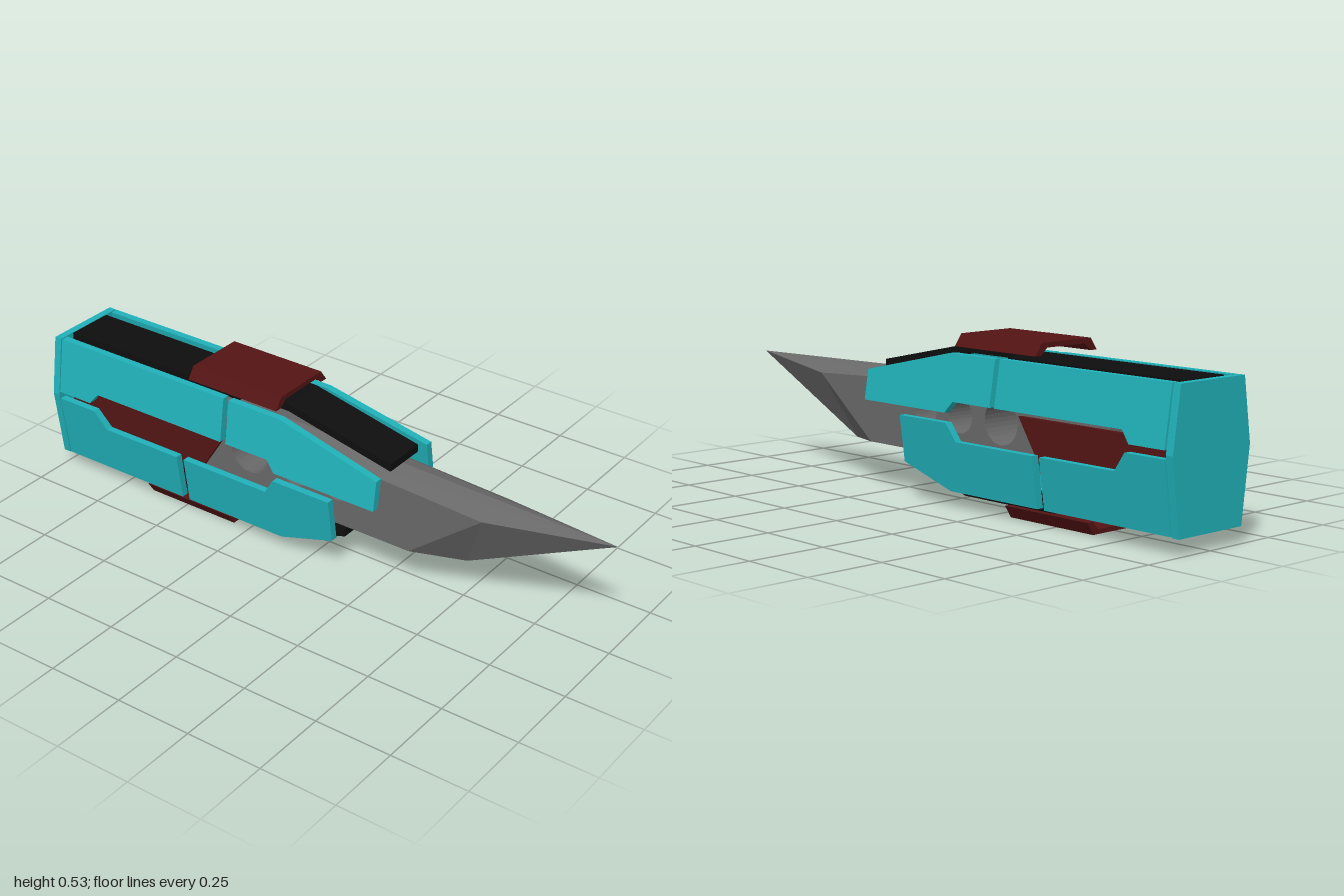
import * as THREE from 'three';

const mat = (color, side = THREE.FrontSide) =>
  new THREE.MeshStandardMaterial({ color, side, flatShading: true });
const TEAL = mat(0x20b0b8), RED = mat(0x541414), BLACK = mat(0x0e0e0e);
const STEEL = mat(0x686868, THREE.DoubleSide);

const shapeOf = (pts) => new THREE.Shape(pts.map(([a, b]) => new THREE.Vector2(a, b)));

// Extrudes a side outline given as [z, y], centred across x
function sideExtrude(shape, width) {
  const g = new THREE.ExtrudeGeometry(shape, { depth: width, bevelEnabled: false, curveSegments: 16 });
  g.translate(0, 0, -width / 2);
  return g.rotateY(-Math.PI / 2);
}

// Extrudes a front outline given as [x, y] between two z positions
function frontExtrude(pts, z0, z1) {
  const g = new THREE.ExtrudeGeometry(shapeOf(pts), { depth: z1 - z0, bevelEnabled: false });
  return g.translate(0, 0, z0);
}

// Moves every vertex by a rule
function deform(g, rule) {
  const p = g.attributes.position;
  const v = new THREE.Vector3();
  for (let i = 0; i < p.count; i++) {
    rule(v.fromBufferAttribute(p, i));
    p.setXYZ(i, v.x, v.y, v.z);
  }
  g.computeVertexNormals();
  return g;
}

export function createModel() {
  const model = new THREE.Group();
  const add = (name, geometry, material, parent = model) => {
    const m = new THREE.Mesh(geometry, material);
    m.name = name;
    parent.add(m);
    return m;
  };

  // Side panels lean inwards away from the middle height
  const panels = {
    upperFrontPanel: [[0.275, 0.295], [0.275, 0.39], [-0.09, 0.472], [-0.285, 0.472],
      [-0.285, 0.33], [-0.125, 0.33], [-0.095, 0.295]],
    upperRearPanel: [[-0.305, 0.33], [-0.305, 0.473], [-0.97, 0.473], [-0.97, 0.293],
      [-0.84, 0.293], [-0.81, 0.33]],
    lowerFrontPanel: [[0.11, 0.265], [-0.1, 0.265], [-0.135, 0.21], [-0.46, 0.21],
      [-0.46, 0.052], [-0.09, 0.052], [0.11, 0.118]],
    lowerRearPanel: [[-0.488, 0.21], [-0.78, 0.21], [-0.825, 0.268], [-0.97, 0.268],
      [-0.97, 0.052], [-0.488, 0.052]],
  };
  const lean = (y) => (y > 0.28 ? 0.149 - (y - 0.29) * 0.16 : 0.148 - (0.268 - y) * 0.14);
  for (const [name, pts] of Object.entries(panels)) {
    for (const s of [1, -1]) {
      const g = deform(sideExtrude(shapeOf(pts), 0.024), (v) => { v.x += s * lean(v.y); });
      add((s > 0 ? 'left ' : 'right ') + name, g, TEAL);
    }
  }

  // Six-sided end plate
  add('backPlate', frontExtrude([[-0.13, 0.05], [0.13, 0.05], [0.16, 0.28], [0.132, 0.473],
    [-0.132, 0.473], [-0.16, 0.28]], -1, -0.975), TEAL);

  // Black covers above and below the blade
  add('upperFrontCover', sideExtrude(shapeOf([[0.275, 0.39], [0.275, 0.415], [-0.1, 0.495],
    [-0.285, 0.495], [-0.285, 0.47], [-0.1, 0.47]]), 0.144), BLACK);
  add('lowerFrontCover', sideExtrude(shapeOf([[0.11, 0.122], [0.11, 0.098], [-0.09, 0.03],
    [-0.46, 0.03], [-0.46, 0.055], [-0.09, 0.055]]), 0.14), BLACK);
  const rearCover = (name, y, z0, z1) => {
    const g = new THREE.BoxGeometry(0.16, 0.025, z0 - z1);
    add(name, g.translate(0, y, (z0 + z1) / 2), BLACK);
  };
  rearCover('upperRearCover', 0.4625, -0.285, -0.97);
  rearCover('lowerRearCover', 0.0625, -0.46, -0.97);

  // Red clamps wrapping over the covers
  add('upperClamp', frontExtrude([[-0.128, 0.493], [-0.103, 0.493], [-0.078, 0.515], [0.078, 0.515],
    [0.102, 0.493], [0.126, 0.493], [0.1, 0.53], [-0.102, 0.53]], -0.445, -0.105), RED);
  add('lowerClamp', frontExtrude([[-0.117, 0.038], [-0.092, 0], [0.09, 0], [0.114, 0.038],
    [0.092, 0.038], [0.068, 0.014], [-0.07, 0.014], [-0.095, 0.038]], -0.645, -0.31), RED);

  // Red cradle holding the rear of the blade, with a raked front edge
  const cradle = frontExtrude([[-0.098, 0.305], [-0.098, 0.14], [-0.004, 0.117], [0.09, 0.14],
    [0.09, 0.305], [0.076, 0.305], [0.076, 0.15], [-0.004, 0.13], [-0.084, 0.15], [-0.084, 0.305]],
  -0.97, -0.34);
  add('cradle', deform(cradle, (v) => { if (v.z > -0.5) v.z -= (0.305 - v.y) * 0.65; }), RED);

  // Blade: core with round cut-outs, plus ridge, keel and point
  const blade = new THREE.Group();
  blade.name = 'blade';
  blade.position.x = -0.003;
  model.add(blade);
  const w = 0.077;
  const core = shapeOf([[0.6, 0.34], [-0.1, 0.374], [-0.69, 0.374], [-0.69, 0.143], [0.35, 0.143]]);
  for (const [z, r] of [[0.085, 0.05], [-0.07, 0.055], [-0.25, 0.07]]) {
    core.holes.push(new THREE.Path().absarc(z, 0.275, r, 0, Math.PI * 2, true));
  }
  add('bladeCore', sideExtrude(core, w * 2), STEEL, blade);

  const tris = [];
  const tri = (...pts) => pts.forEach((p) => tris.push(...p));
  const quad = (a, b, c, d) => { tri(a, b, c); tri(a, c, d); };
  const tip = [0, 0.37, 1], keel = [0, 0.13, 0.51];
  for (const s of [1, -1]) {
    const x = s * w;
    const top = [x, 0.34, 0.6], mid = [x, 0.374, -0.1], topEnd = [x, 0.374, -0.69];
    const low = [x, 0.143, 0.35], lowEnd = [x, 0.143, -0.69];
    const ridge = [0, 0.395, -0.1], ridgeEnd = [0, 0.395, -0.69], keelEnd = [0, 0.122, -0.69];
    quad(tip, top, mid, ridge);
    quad(ridge, mid, topEnd, ridgeEnd);
    tri(tip, keel, top);
    tri(top, keel, low);
    quad(keel, keelEnd, lowEnd, low);
    tri(ridgeEnd, topEnd, [0, 0.374, -0.69]);
    tri(keelEnd, [0, 0.143, -0.69], lowEnd);
  }
  const edge = new THREE.BufferGeometry();
  edge.setAttribute('position', new THREE.Float32BufferAttribute(tris, 3));
  edge.computeVertexNormals();
  add('bladeEdge', edge, STEEL, blade);

  return model;
}
